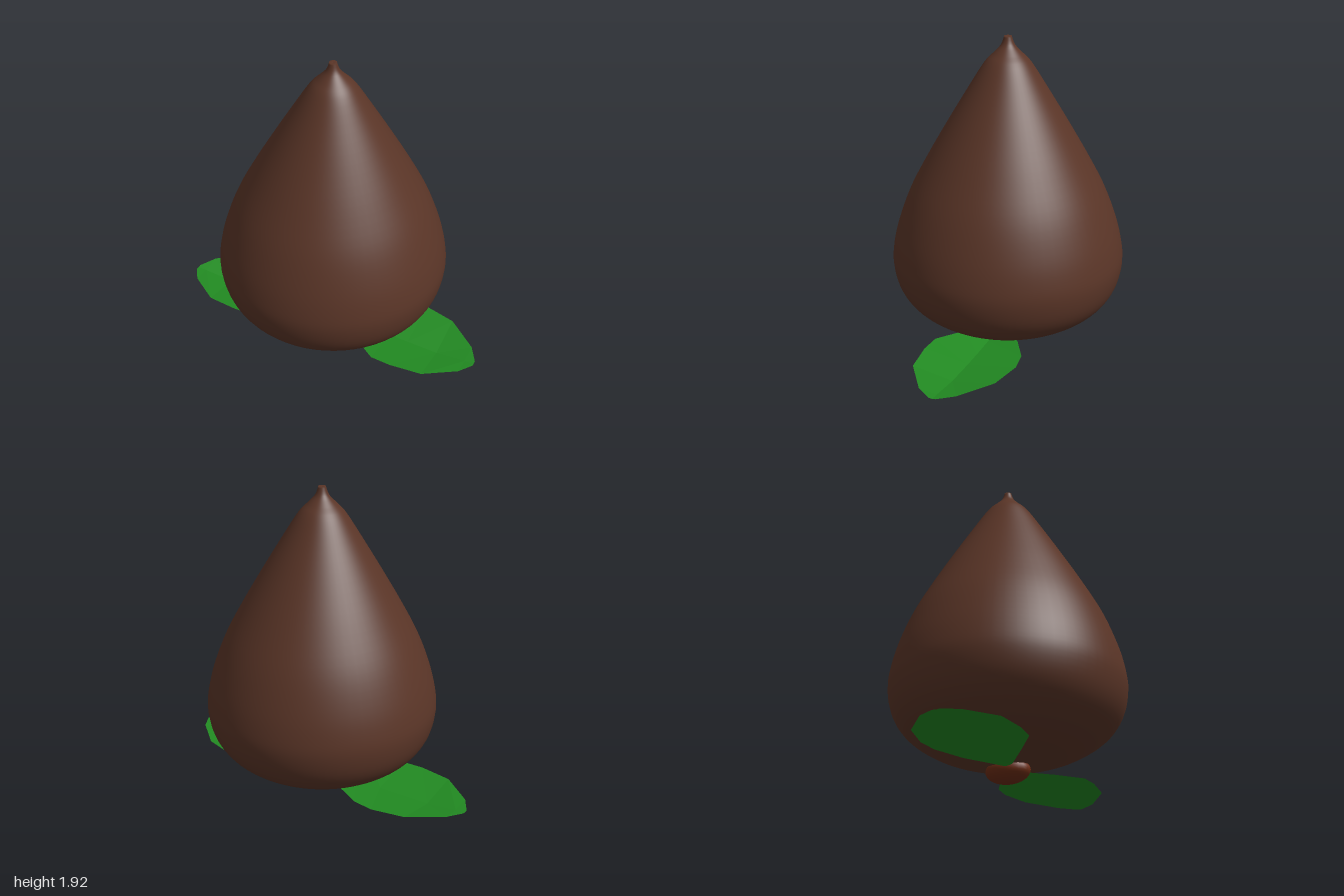
import * as THREE from 'three';

const mat = (color, extra = {}) => new THREE.MeshStandardMaterial({ color, ...extra });

// Smooth teardrop body, turned from a profile
function makeBody() {
  const upper = [
    [0, 0.075], [0.1, 0.095], [0.28, 0.14], [0.45, 0.2], [0.59, 0.29], [0.67, 0.4], [0.702, 0.54],
    [0.69, 0.67], [0.65, 0.82], [0.58, 1.0], [0.475, 1.2], [0.36, 1.4], [0.24, 1.6],
    [0.14, 1.76], [0.085, 1.82], [0.04, 1.87], [0.022, 1.92],
  ].map(([r, y]) => new THREE.Vector2(r, y));
  const profile = new THREE.SplineCurve(upper).getPoints(64);
  profile.forEach((p) => { p.x = Math.max(p.x, 0); });
  profile.push(new THREE.Vector2(0, 1.915));
  const body = new THREE.Mesh(new THREE.LatheGeometry(profile, 64), mat(0x5a3527));
  body.name = 'body';
  return body;
}

// Faceted leaf folded along its midrib; side = 1 or -1 along x
function makeLeaf(side) {
  // stations: x, back edge z, midrib z, front edge z, edge y, midrib y
  const stations = [
    [0.08, 0.0, 0.03, 0.06, 0.085, 0.075],
    [0.25, -0.16, 0.03, 0.19, 0.1, 0.064],
    [0.42, -0.25, 0.035, 0.31, 0.11, 0.062],
    [0.55, -0.265, 0.04, 0.32, 0.112, 0.062],
    [0.75, -0.215, 0.05, 0.3, 0.11, 0.064],
    [0.94, -0.06, 0.057, 0.17, 0.102, 0.088],
    [1.0, 0.04, 0.06, 0.08, 0.096, 0.094],
  ];
  const positions = [];
  const index = [];
  stations.forEach(([x, back, mid, front, edgeY, midY], i) => {
    positions.push(side * x, edgeY, back, side * x, midY, mid, side * x, edgeY, front);
    if (i === 0) return;
    for (let j = 0; j < 2; j++) {
      const a = (i - 1) * 3 + j, b = a + 1, c = a + 3, d = a + 4;
      if (side > 0) index.push(a, b, c, b, d, c);
      else index.push(a, c, b, b, c, d);
    }
  });
  const geometry = new THREE.BufferGeometry();
  geometry.setAttribute('position', new THREE.Float32BufferAttribute(positions, 3));
  geometry.setIndex(index);
  geometry.computeVertexNormals();
  const leaf = new THREE.Mesh(geometry, mat(0x228b22, { side: THREE.DoubleSide, flatShading: true }));
  leaf.name = side > 0 ? 'leftLeaf' : 'rightLeaf';
  return leaf;
}

export function createModel() {
  const model = new THREE.Group();
  model.name = 'bud';
  model.add(makeBody(), makeLeaf(1), makeLeaf(-1));

  // Small oval stem end under the body
  const stem = new THREE.Mesh(new THREE.SphereGeometry(1, 24, 16), mat(0x6b2c14));
  stem.name = 'stemEnd';
  stem.scale.set(0.095, 0.075, 0.135);
  stem.position.y = 0.075;
  model.add(stem);

  return model;
}
